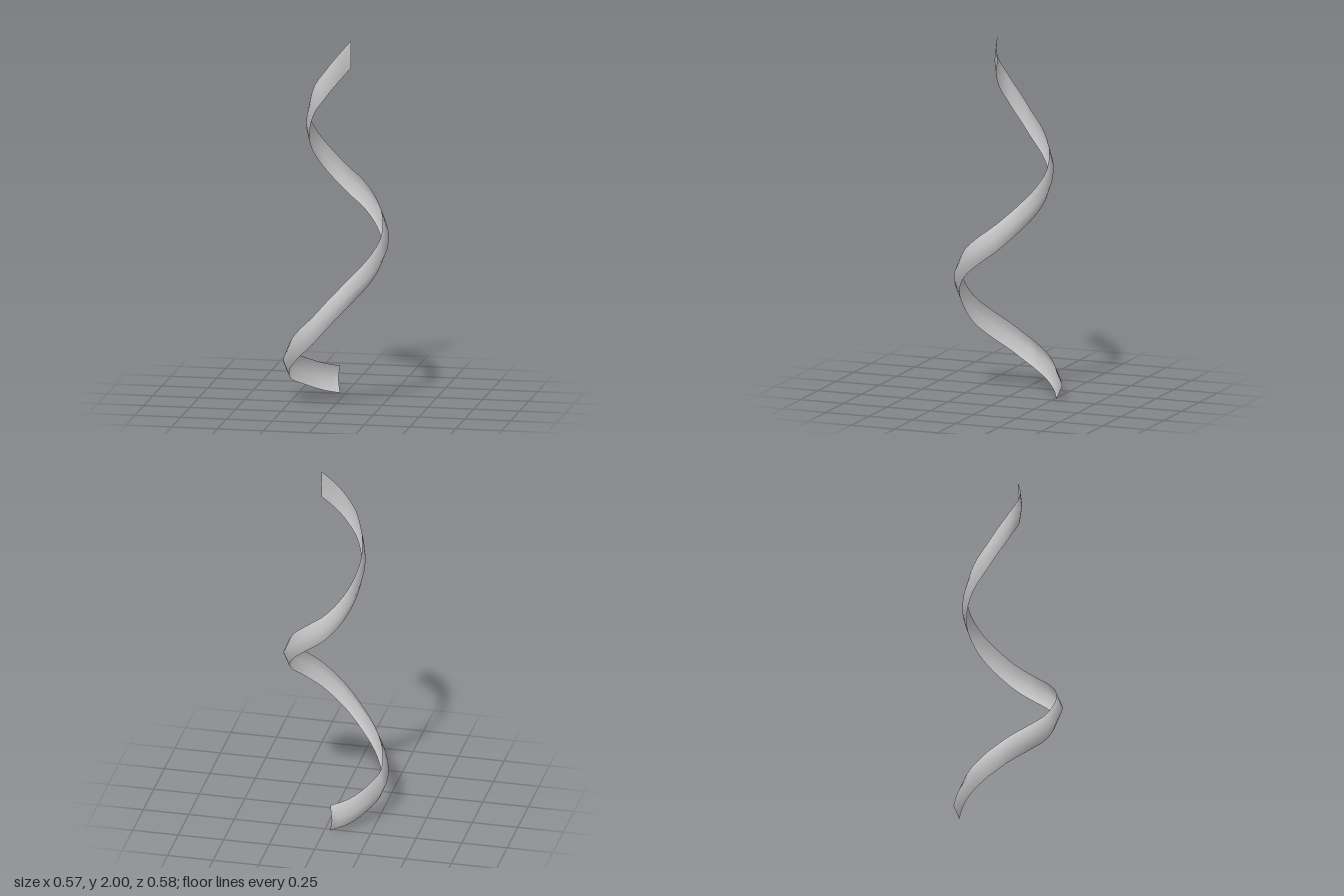
import * as THREE from 'three';

// Ridge line of the ribbon, bottom to top
const ridge = new THREE.CatmullRomCurve3([
  [-0.046, 0.08, -0.291], [-0.141, 0.105, -0.238], [-0.22, 0.145, -0.16], [-0.279, 0.19, -0.054],
  [-0.286, 0.215, 0], [-0.266, 0.275, 0.09], [-0.195, 0.36, 0.197], [-0.096, 0.45, 0.268],
  [0.015, 0.56, 0.29], [0.136, 0.675, 0.262], [0.229, 0.765, 0.189], [0.279, 0.84, 0.09],
  [0.286, 0.885, 0.02], [0.27, 0.95, -0.07], [0.216, 1.03, -0.16], [0.127, 1.11, -0.227],
  [0.015, 1.19, -0.251], [-0.078, 1.28, -0.227], [-0.141, 1.37, -0.165], [-0.172, 1.48, -0.062],
  [-0.157, 1.58, 0.01], [-0.114, 1.68, 0.066], [-0.046, 1.765, 0.088], [0.02, 1.845, 0.073],
  [0.088, 1.925, 0.034],
].map((p) => new THREE.Vector3(...p)));

const HALF_HEIGHT = 0.075;
const SEGMENTS = 72;

// Depth of the V section: even along the lower turn, thinning towards the tip
function sectionDepth(t) {
  return THREE.MathUtils.lerp(0.032, 0.006, Math.max(0, (t - 0.55) / 0.45));
}

// Sweeps an open V section, pointing outwards, along the ridge line
function ribbonGeometry() {
  const positions = [];
  const indices = [];
  for (let i = 0; i <= SEGMENTS; i++) {
    const t = i / SEGMENTS;
    const p = ridge.getPoint(t);
    const along = ridge.getTangent(t);
    const inward = new THREE.Vector3(along.z, 0, -along.x).normalize().multiplyScalar(sectionDepth(t));
    for (const side of [-1, 0, 1]) {
      const k = Math.abs(side);
      positions.push(p.x + inward.x * k, p.y + side * HALF_HEIGHT, p.z + inward.z * k);
    }
    if (i === SEGMENTS) break;
    for (let j = 0; j < 2; j++) {
      const a = i * 3 + j;
      const b = a + 3;
      indices.push(a, b, a + 1, b, b + 1, a + 1);
    }
  }
  const geometry = new THREE.BufferGeometry();
  geometry.setAttribute('position', new THREE.Float32BufferAttribute(positions, 3));
  geometry.setIndex(indices);
  geometry.computeVertexNormals();
  return geometry;
}

export function createModel() {
  const group = new THREE.Group();
  group.name = 'spiralRibbon';
  const material = new THREE.MeshStandardMaterial({ color: 0xcccccc, side: THREE.DoubleSide });
  const ribbon = new THREE.Mesh(ribbonGeometry(), material);
  ribbon.name = 'ribbon';
  group.add(ribbon);
  return group;
}
